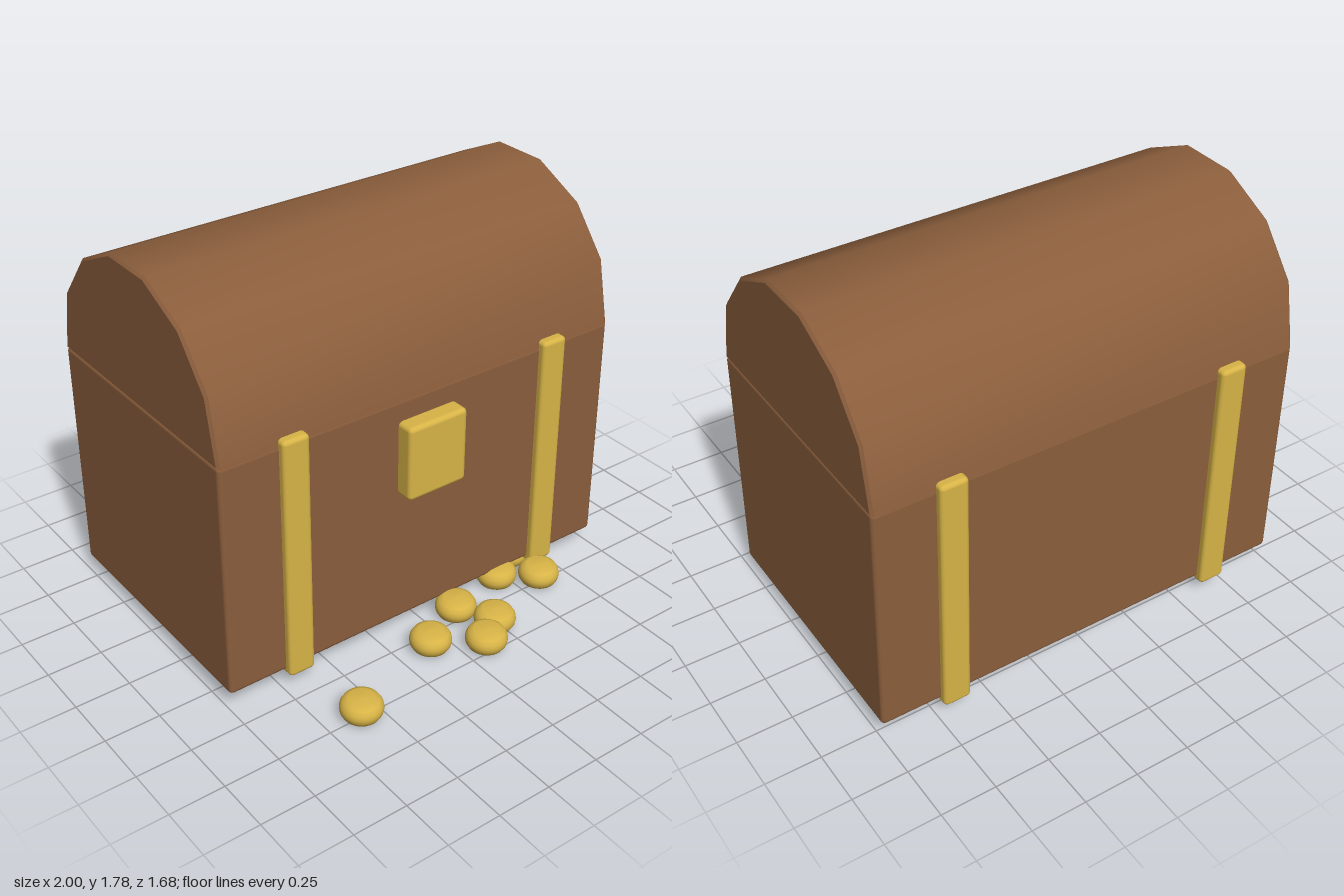
import * as THREE from 'three';
import { toCreasedNormals } from 'three/addons/utils/BufferGeometryUtils.js';
import { RoundedBoxGeometry } from 'three/addons/geometries/RoundedBoxGeometry.js';

export function createModel() {
  const wood = new THREE.MeshStandardMaterial({ color: 0x8b5e3c });
  wood.name = 'wood brown';
  const gold = new THREE.MeshStandardMaterial({ color: 0xd8b447 });
  gold.name = 'gold';

  const model = new THREE.Group();
  model.name = 'treasureChest';

  function add(name, geometry, material, x = 0, y = 0, z = 0) {
    const mesh = new THREE.Mesh(geometry, material);
    mesh.name = name;
    mesh.position.set(x, y, z);
    model.add(mesh);
    return mesh;
  }

  // Softly bevelled box given by its limits on each axis
  function slab(name, material, [x0, x1], [y0, y1], [z0, z1], radius) {
    const geometry = new RoundedBoxGeometry(x1 - x0, y1 - y0, z1 - z0, 2, radius);
    return add(name, geometry, material, (x0 + x1) / 2, (y0 + y1) / 2, (z0 + z1) / 2);
  }

  // Body
  slab('body', wood, [-1, 1], [0.085, 1.18], [-0.81, 0.405], 0.02);

  // Arched lid: half of the section, mirrored about the chest's middle
  const middle = -0.203;
  const half = [[0.608, 1.17], [0.55, 1.46], [0.38, 1.67], [0.135, 1.787]];
  const section = [
    ...half.map(([d, y]) => new THREE.Vector2(middle + d, y)),
    ...half.slice().reverse().map(([d, y]) => new THREE.Vector2(middle - d, y)),
  ];
  const bevel = 0.012;
  const lid = new THREE.ExtrudeGeometry(new THREE.Shape(section), {
    depth: 2 - 2 * bevel,
    bevelEnabled: true,
    bevelThickness: bevel,
    bevelSize: bevel,
    bevelOffset: -bevel,
    bevelSegments: 1,
  });
  lid.translate(0, 0, -(1 - bevel));
  lid.rotateY(-Math.PI / 2);
  add('lid', toCreasedNormals(lid, 0.6), wood);

  // Straps running around the front, bottom and back
  for (const [name, x] of [['leftStrap', 0.665], ['rightStrap', -0.665]]) {
    slab(name, gold, [x - 0.063, x + 0.063], [0.063, 1.21], [-0.845, 0.44], 0.02);
  }

  // Lock plate
  slab('lockPlate', gold, [-0.15, 0.15], [0.73, 1.08], [0.36, 0.485], 0.022);

  // Coins scattered on the ground
  const profile = [
    [0, -0.052], [0.055, -0.049], [0.078, -0.038], [0.09, -0.018],
    [0.093, 0],
    [0.09, 0.018], [0.078, 0.038], [0.055, 0.049], [0, 0.052],
  ].map(([r, y]) => new THREE.Vector2(r, y));
  const coin = new THREE.LatheGeometry(profile, 32);
  const spots = [
    [-0.59, 0.745], [-0.095, 0.575], [0.14, 0.46], [0.105, 0.71], [0.225, 0.625],
    [0.44, 0.385], [0.6, 0.495], [0.3, 0.245], [0.595, 0.29],
  ];
  spots.forEach(([x, z], i) => add(`coin${i + 1}`, coin, gold, x, 0.055, z));

  return model;
}
